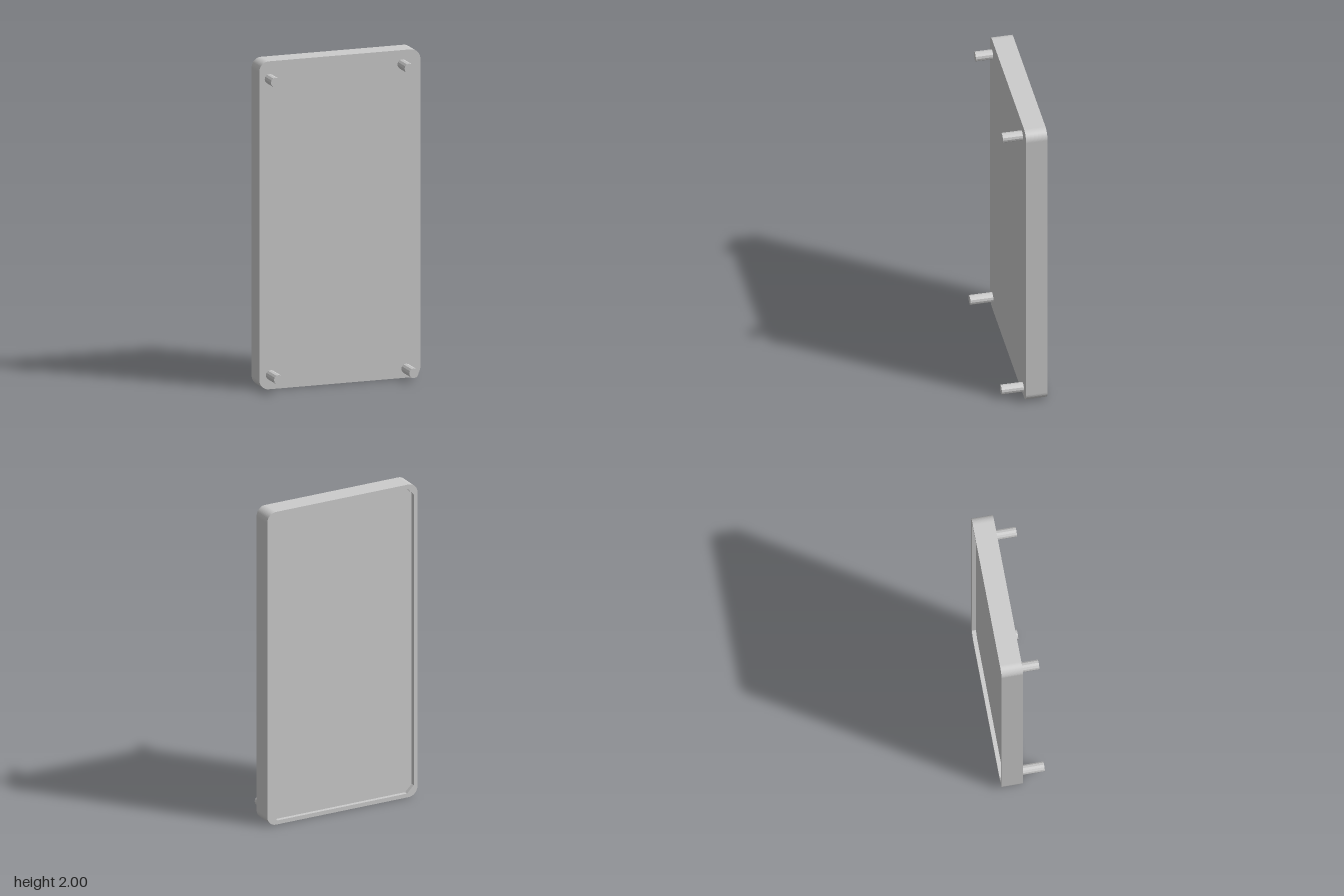
import * as THREE from 'three';

const W = 0.511, BACK = -0.135, FRONT = -0.005, DEPTH = 0.025, RIM = 0.025;

// Rounded outline of the panel, standing on y = 0
function outline(r = 0.06) {
  const s = new THREE.Shape();
  s.absarc(W - r, r, r, -Math.PI / 2, 0);
  s.absarc(W - r, 2 - r, r, 0, Math.PI / 2);
  s.absarc(-W + r, 2 - r, r, Math.PI / 2, Math.PI);
  s.absarc(-W + r, r, r, Math.PI, Math.PI * 1.5);
  s.closePath();
  return s;
}

// Opening of the back recess, with clipped corners
function opening(c = 0.045) {
  const x = W - RIM, b = RIM, t = 2 - RIM;
  return new THREE.Path([
    [-x + c, b], [-x, b + c], [-x, t - c], [-x + c, t],
    [x - c, t], [x, t - c], [x, b + c], [x - c, b],
  ].map(([px, py]) => new THREE.Vector2(px, py)));
}

export function createModel() {
  const model = new THREE.Group();
  model.name = 'panelWithPegs';
  const material = new THREE.MeshStandardMaterial({ color: 0xcccccc });
  const flat = new THREE.MeshStandardMaterial({ color: 0xcccccc, flatShading: true });

  const slab = (name, shape, z0, z1) => {
    const geo = new THREE.ExtrudeGeometry(shape, { depth: z1 - z0, bevelEnabled: false, curveSegments: 8 });
    const mesh = new THREE.Mesh(geo, material);
    mesh.position.z = z0;
    mesh.name = name;
    model.add(mesh);
  };

  // Solid front plate and the raised rim around the shallow back recess
  slab('panel', outline(), BACK + DEPTH, FRONT);
  const rim = outline();
  rim.holes.push(opening());
  slab('backRim', rim, BACK, BACK + DEPTH);

  // Four pegs, slightly uneven in place and length: x, y, end z
  const pegs = {
    upperRightPeg: [-0.447, 1.893, 0.10],
    upperLeftPeg: [0.395, 1.914, 0.117],
    lowerRightPeg: [-0.44, 0.087, 0.134],
    lowerLeftPeg: [0.42, 0.056, 0.129],
  };
  for (const [name, [x, y, end]] of Object.entries(pegs)) {
    const length = end - FRONT;
    const geo = new THREE.CylinderGeometry(0.03, 0.03, length, 12).rotateX(Math.PI / 2);
    const peg = new THREE.Mesh(geo, flat);
    peg.position.set(x, y, FRONT + length / 2);
    peg.name = name;
    model.add(peg);
  }
  return model;
}
